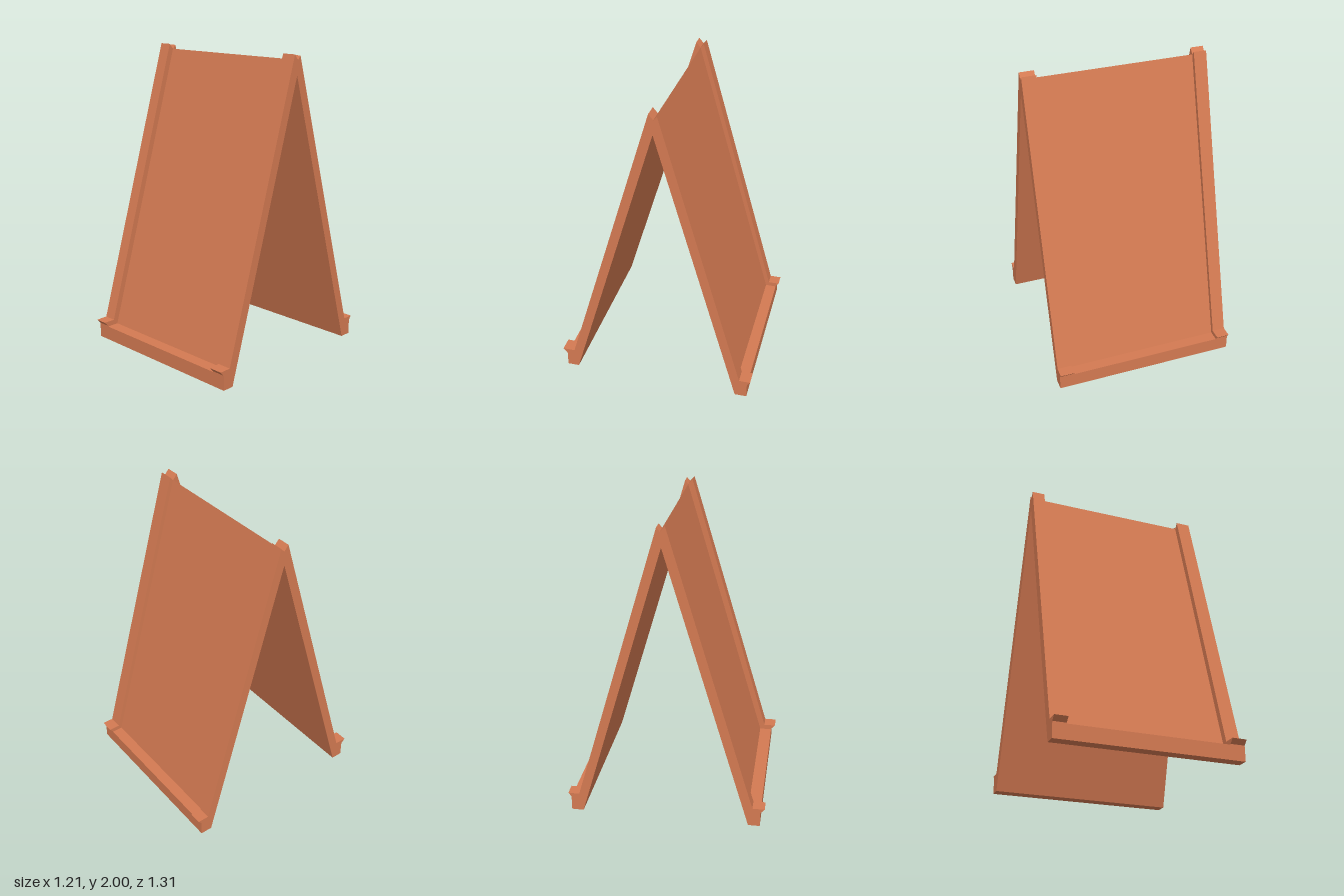
import * as THREE from 'three';

const material = new THREE.MeshStandardMaterial({ color: 0xd47a52, flatShading: true });

// Extrudes a side profile of [z, y] points across the width from x0 to x1.
function slab(name, profile, x0, x1) {
  const shape = new THREE.Shape(profile.map(([z, y]) => new THREE.Vector2(z, y)));
  const geometry = new THREE.ExtrudeGeometry(shape, { depth: x1 - x0, bevelEnabled: false });
  geometry.rotateY(-Math.PI / 2);
  geometry.translate(x1, 0, 0);
  const mesh = new THREE.Mesh(geometry, material);
  mesh.name = name;
  return mesh;
}

const WIDTH = [-0.605, 0.605];
const RAILS = { right: [-0.605, -0.52], left: [0.51, 0.605] };
const APEX = [-0.012, 1.87]; // where the inner faces meet
const RIDGE = [-0.018, 1.965]; // where the panel faces meet
const LIP_Y = 0.095;

// One leaning leaf: recessed panel, bottom lip, two side rails and two stops.
function leaf(name, p) {
  const group = new THREE.Group();
  group.name = name;
  const panelBase = [p.panel, LIP_Y];
  const railBase = [p.railLow, LIP_Y];
  const railFoot = [p.rail, p.stopY];

  group.add(slab('panel', [[p.inner, 0], APEX, RIDGE, panelBase, [p.panelFoot, 0]], ...WIDTH));
  group.add(slab('bottomLip', [[p.panelFoot, 0], panelBase, [p.lip, LIP_Y], [p.lip, 0]], ...WIDTH));

  for (const [side, range] of Object.entries(RAILS)) {
    group.add(slab(side + 'Rail', [RIDGE, p.railTop, railFoot, railBase, panelBase], ...range));
    // Stop with an undercut front edge, sitting on the lip
    group.add(slab(side + 'Stop', [railFoot, [p.stop, p.stopY], [p.lip, 0.1], [p.lip, LIP_Y], railBase], ...range));
  }
  return group;
}

export function createModel() {
  const model = new THREE.Group();
  model.name = 'foldingSignBoard';
  model.add(leaf('frontLeaf', {
    inner: 0.55, panel: 0.545, panelFoot: 0.573, rail: 0.575, railLow: 0.585,
    railTop: [0.012, 2], lip: 0.627, stop: 0.655, stopY: 0.13,
  }));
  model.add(leaf('backLeaf', {
    inner: -0.555, panel: -0.56, panelFoot: -0.587, rail: -0.58, railLow: -0.589,
    railTop: [-0.04, 1.99], lip: -0.634, stop: -0.655, stopY: 0.125,
  }));
  return model;
}
